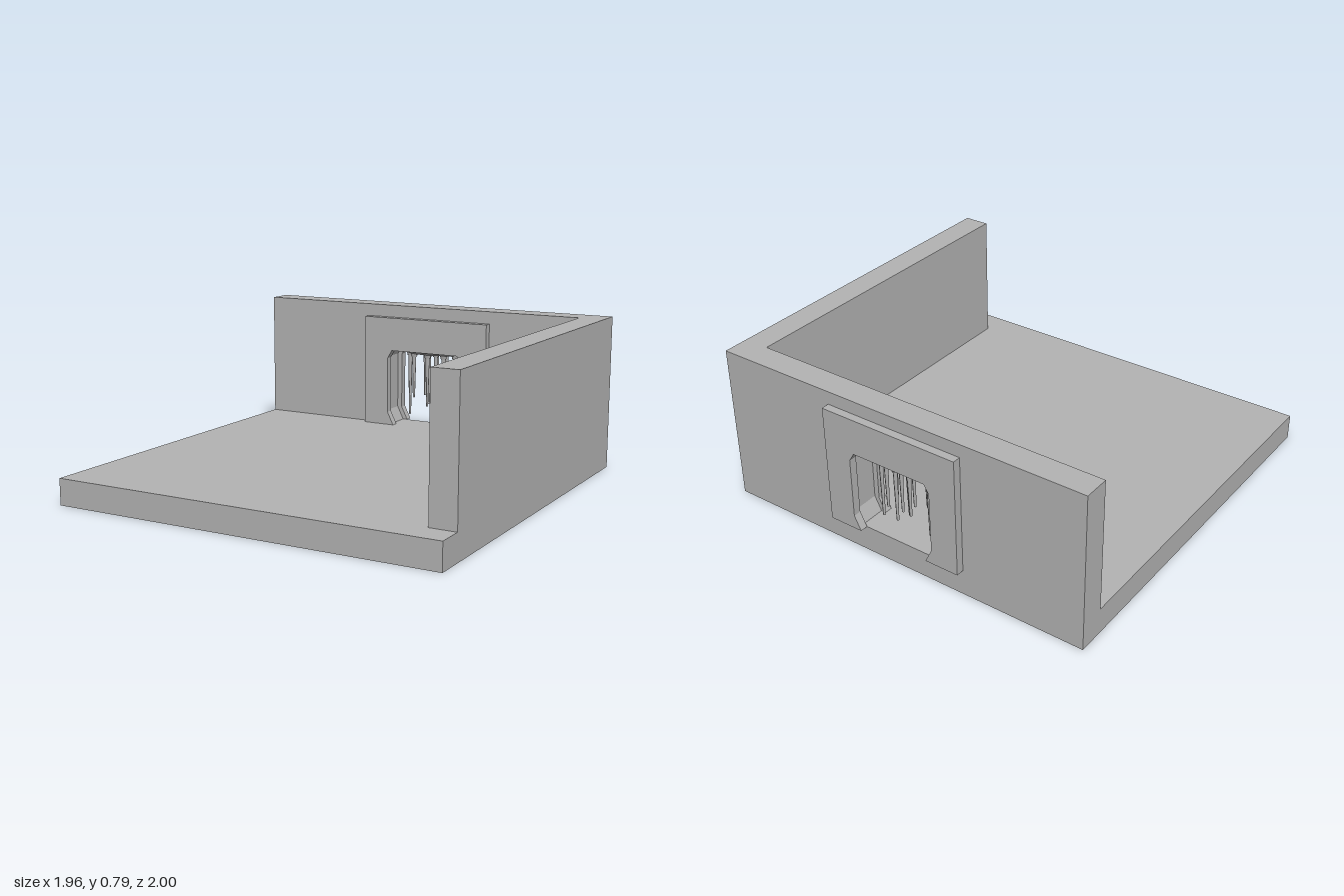
import * as THREE from 'three';

const stone = new THREE.MeshStandardMaterial({ color: 0xb2b2b2 });
stone.name = 'grey stone';

function add(group, name, geometry, x = 0, y = 0, z = 0) {
  const mesh = new THREE.Mesh(geometry, stone);
  mesh.name = name;
  mesh.position.set(x, y, z);
  group.add(mesh);
  return mesh;
}

// Box given by its limits on each axis
function block(group, name, [x0, x1], [y0, y1], [z0, z1]) {
  add(group, name, new THREE.BoxGeometry(x1 - x0, y1 - y0, z1 - z0),
    (x0 + x1) / 2, (y0 + y1) / 2, (z0 + z1) / 2);
}

// Upright slab with a doorway cut up from its lower edge; grow widens the doorway
function archSlab(group, name, halfWidth, top, z0, z1, grow) {
  const right = [[0.185, 0.13], [0.22, 0.2], [0.22, 0.5], [0.195, 0.542]]
    .map(([x, y]) => [x + grow, y]);
  const left = right.map(([x, y]) => [-x, y]).reverse();
  const outline = [[halfWidth, 0.13], [halfWidth, top], [-halfWidth, top], [-halfWidth, 0.13],
    ...left.reverse(), ...right.reverse()];
  const shape = new THREE.Shape(outline.map(([x, y]) => new THREE.Vector2(x, y)));
  add(group, name, new THREE.ExtrudeGeometry(shape, { depth: z1 - z0, bevelEnabled: false }), 0, 0, z0);
}

export function createModel() {
  const model = new THREE.Group();

  // Floor and walls
  block(model, 'floor', [-0.98, 0.98], [0, 0.13], [-0.96, 1]);
  block(model, 'sideWall', [0.85, 0.98], [0.13, 0.785], [-0.83, 0.865]);
  archSlab(model, 'backWall', 0.98, 0.785, -0.96, -0.83, 0.025);

  // Door surround on both faces of the wall
  archSlab(model, 'outerSurround', 0.36, 0.72, -1, -0.96, 0);
  archSlab(model, 'innerSurround', 0.36, 0.72, -0.83, -0.79, 0);

  // Ceiling plate that holds the spikes
  const gate = new THREE.Group();
  gate.name = 'spikes';
  gate.position.z = -0.895;
  model.add(gate);
  const plate = new THREE.CylinderGeometry(0.2, 0.15, 0.018, 16);
  plate.scale(1, 1, 0.5);
  add(gate, 'ceilingPlate', plate, 0, 0.536, 0);

  // Hanging spikes: x, z, tip height
  const spikes = [[0, 0.06, 0.245], [0, -0.06, 0.245]];
  for (const s of [-1, 1]) {
    spikes.push([s * 0.134, 0, 0.18], [s * 0.088, 0.045, 0.285],
      [s * 0.064, -0.045, 0.285], [s * 0.02, 0, 0.245]);
  }
  for (const [x, z, tip] of spikes) {
    const length = 0.525 - tip;
    add(gate, 'spike', new THREE.CylinderGeometry(0.011, 0.006, length, 6).toNonIndexed(),
      x, tip + length / 2, z);
    add(gate, 'spikeCap', new THREE.CylinderGeometry(0.02, 0.016, 0.018, 8), x, 0.519, z);
  }
  return model;
}
